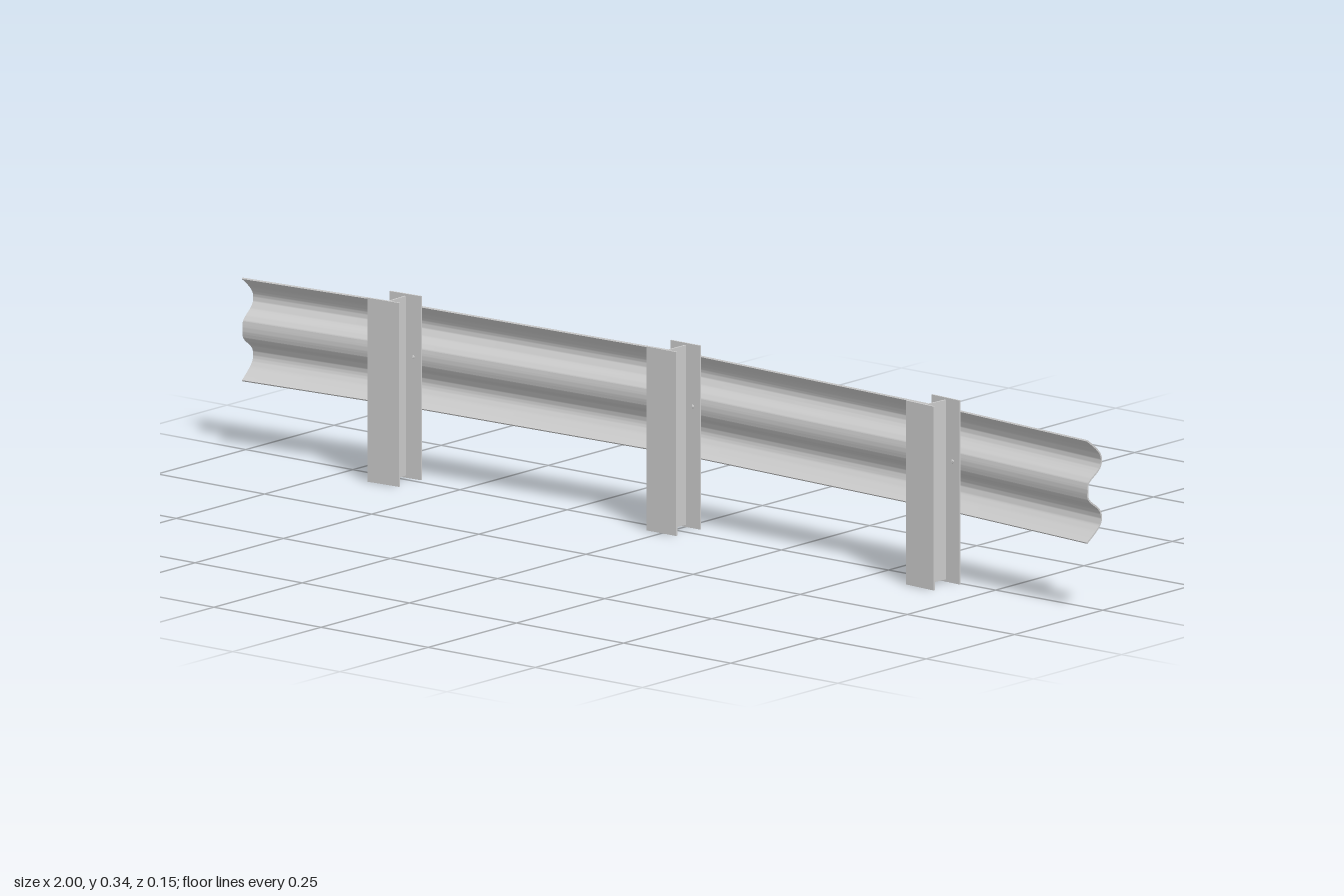
import * as THREE from 'three';
import { toCreasedNormals } from 'three/addons/utils/BufferGeometryUtils.js';

const material = new THREE.MeshStandardMaterial({ color: 0xcccccc });
const MID_Y = 0.225;
const DEPTH = 0.037;
const SHEET = 0.003;

// Plan of the rail's outer face [x, z]; it bends at each post
const plan = [[-1, -0.024], [-0.64, -0.054], [0, -0.074], [0.64, -0.038], [1, 0.002]]
  .map(([x, z]) => new THREE.Vector2(x, z));

// Average slope dz/dx of the plan at a station
function slopeAt(i) {
  const slopes = [];
  for (const [a, b] of [[i - 1, i], [i, i + 1]]) {
    if (plan[a] && plan[b]) slopes.push((plan[b].y - plan[a].y) / (plan[b].x - plan[a].x));
  }
  return slopes.reduce((s, v) => s + v, 0) / slopes.length;
}

// Double-wave section as a closed loop of (depth, height)
function railSection() {
  const half = [[DEPTH - SHEET, 0], [DEPTH - SHEET, 0.011], [0.027, 0.02], [0.012, 0.031],
    [0.003, 0.041], [0, 0.053], [0.003, 0.065], [0.012, 0.076], [0.025, 0.087], [DEPTH, 0.096]];
  const pts = [...half.slice(1).reverse().map(([d, h]) => [d, -h]), ...half]
    .map(([d, h]) => new THREE.Vector2(d, MID_Y + h));
  const outer = new THREE.SplineCurve(pts).getPoints(72);
  const inner = outer.map((p, k) => {
    const t = outer[Math.min(k + 1, 72)].clone().sub(outer[Math.max(k - 1, 0)]).normalize();
    return new THREE.Vector2(p.x + t.y * SHEET, p.y - t.x * SHEET);
  });
  return [...outer, ...inner.reverse()];
}

function railGeometry() {
  const section = railSection();
  const n = section.length;
  const positions = [], index = [];
  plan.forEach((p, j) => {
    const s = slopeAt(j), len = Math.hypot(1, s);
    for (const q of section) positions.push(p.x - (q.x * s) / len, q.y, p.y + q.x / len);
  });
  const quad = (a, b, c, d) => index.push(a, b, c, a, c, d);
  for (let j = 0; j < plan.length - 1; j++) {
    for (let i = 0; i < n; i++) {
      const k = (i + 1) % n;
      quad(j * n + i, j * n + k, (j + 1) * n + k, (j + 1) * n + i);
    }
  }
  // Sheet edges at both ends
  const last = (plan.length - 1) * n;
  for (let k = 0; k < n / 2 - 1; k++) {
    quad(last + k, last + k + 1, last + n - 2 - k, last + n - 1 - k);
    quad(n - 1 - k, n - 2 - k, k + 1, k);
  }
  const geometry = new THREE.BufferGeometry();
  geometry.setAttribute('position', new THREE.Float32BufferAttribute(positions, 3));
  geometry.setIndex(index);
  return toCreasedNormals(geometry, 0.6);
}

function addMesh(parent, name, geometry, x, y, z) {
  const mesh = new THREE.Mesh(geometry, material);
  mesh.name = name;
  mesh.position.set(x, y, z);
  parent.add(mesh);
  return mesh;
}

// I-beam post; its local z = 0 is the face that meets the rail
function createPost() {
  const post = new THREE.Group();
  post.name = 'post';
  const height = 0.34, depth = 0.07, t = 0.0035;
  const flange = new THREE.BoxGeometry(0.07, height, t);
  addMesh(post, 'rearFlange', flange, 0, height / 2, t / 2);
  addMesh(post, 'frontFlange', flange, 0, height / 2, depth - t / 2);
  addMesh(post, 'web', new THREE.BoxGeometry(t, height - 0.008, depth - 2 * t), 0, height / 2, depth / 2);

  // Bolts through the rail valley and the rear flange
  const shank = new THREE.CylinderGeometry(0.002, 0.002, 0.013, 10);
  const head = new THREE.CylinderGeometry(0.0035, 0.0035, 0.002, 12);
  const nut = new THREE.CylinderGeometry(0.0038, 0.0038, 0.003, 6);
  for (const g of [shank, head, nut]) g.rotateX(Math.PI / 2);
  for (const x of [-0.018, 0.018]) {
    addMesh(post, 'boltShank', shank, x, MID_Y, 0.001);
    addMesh(post, 'boltHead', head, x, MID_Y, -0.006);
    addMesh(post, 'boltNut', nut, x, MID_Y, t + 0.0015);
  }
  return post;
}

export function createModel() {
  const model = new THREE.Group();
  model.name = 'guardRail';
  addMesh(model, 'rail', railGeometry(), 0, 0, 0);

  // One post at each bend, turned square to the rail
  for (const i of [1, 2, 3]) {
    const angle = Math.atan(slopeAt(i)), offset = DEPTH + 0.002;
    const post = createPost();
    post.position.set(plan[i].x - offset * Math.sin(angle), 0, plan[i].y + offset * Math.cos(angle));
    post.rotation.y = -angle;
    model.add(post);
  }
  return model;
}
